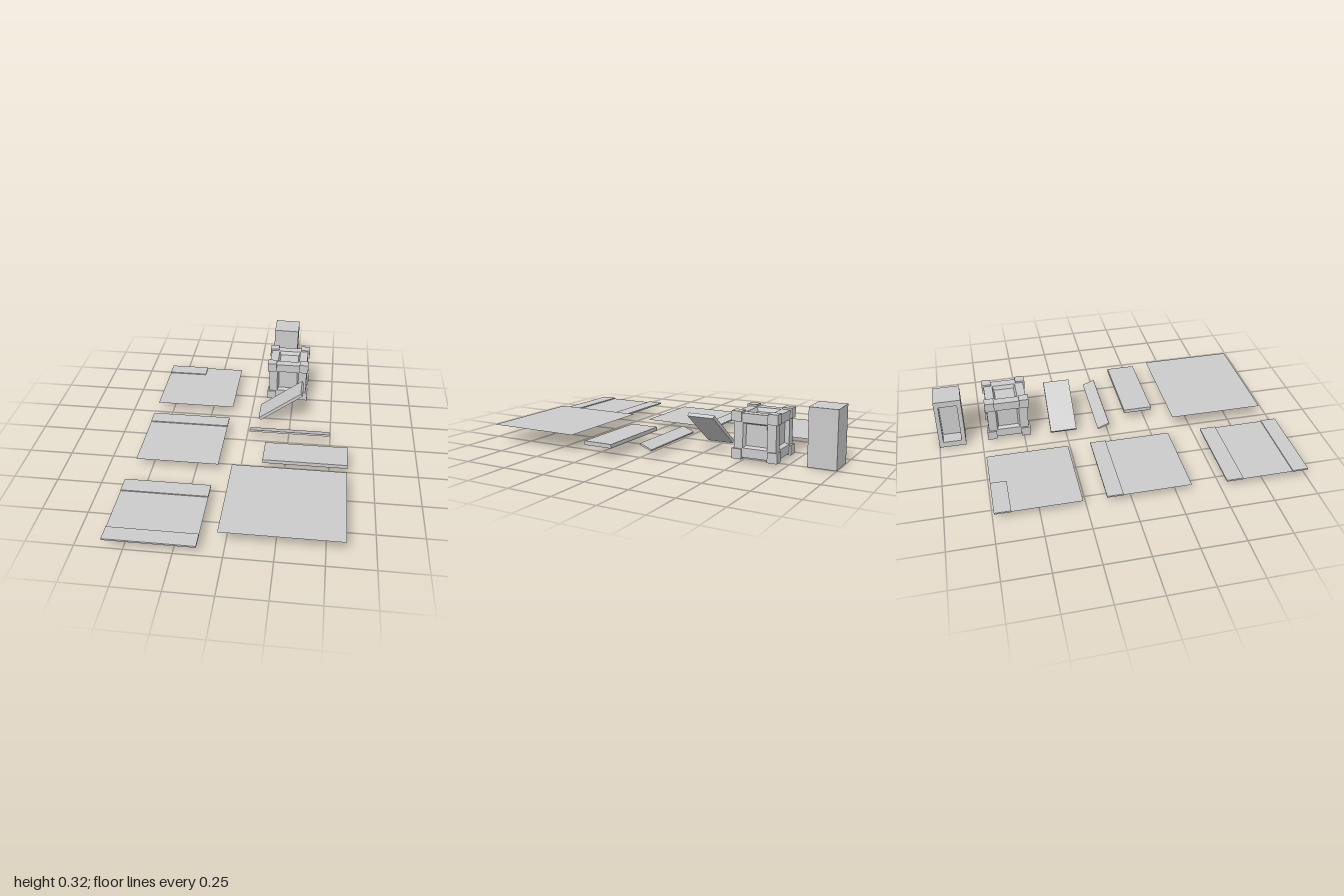
import * as THREE from 'three';

const material = new THREE.MeshStandardMaterial({ color: 0xcccccc, flatShading: true });
const thin = new THREE.MeshStandardMaterial({ color: 0xcccccc, flatShading: true, side: THREE.DoubleSide });

function add(parent, name, geometry, x, y, z, mat = material) {
  const mesh = new THREE.Mesh(geometry, mat);
  mesh.name = name;
  mesh.position.set(x, y, z);
  parent.add(mesh);
  return mesh;
}

const box = (parent, name, w, h, d, x, y, z) => add(parent, name, new THREE.BoxGeometry(w, h, d), x, y, z);

// Zero-thickness horizontal sheet given by its bounds
function sheet(parent, name, x0, x1, z0, z1, y) {
  const geometry = new THREE.PlaneGeometry(x1 - x0, z1 - z0).rotateX(-Math.PI / 2);
  return add(parent, name, geometry, (x0 + x1) / 2, y, (z0 + z1) / 2, thin);
}

// Floor panel: a sheet with raised strips, each [x0, x1, z0, z1]
function floorPanel(name, x0, x1, z0, z1, strips) {
  const group = new THREE.Group();
  group.name = name;
  sheet(group, 'panelSheet', x0, x1, z0, z1, 0.055);
  for (const [a, b, c, d] of strips) {
    box(group, 'panelStrip', b - a, 0.009, d - c, (a + b) / 2, 0.0565, (c + d) / 2);
  }
  return group;
}

// Crate: core, twelve edge bars, eight corner blocks, bevelled recess on each side
function crate() {
  const group = new THREE.Group();
  group.name = 'crate';
  box(group, 'crateCore', 0.19, 0.19, 0.19, 0, 0, 0);
  const signs = [-1, 1];
  for (const a of signs) for (const b of signs) {
    const p = a * 0.0925, q = b * 0.0925;
    box(group, 'crateBar', 0.16, 0.05, 0.05, 0, p, q);
    box(group, 'crateBar', 0.05, 0.16, 0.05, p, 0, q);
    box(group, 'crateBar', 0.05, 0.05, 0.16, p, q, 0);
    for (const c of signs) {
      box(group, 'crateCorner', 0.055, 0.055, 0.055, a * 0.1, b * 0.1, c * 0.1);
    }
  }
  const bevel = new THREE.CylinderGeometry(0.0675 * Math.SQRT2, 0.058 * Math.SQRT2, 0.0225, 4, 1, true)
    .rotateY(Math.PI / 4).translate(0, 0.10625, 0);
  for (let i = 0; i < 6; i++) {
    const mesh = add(group, 'crateBevel', bevel, 0, 0, 0, thin);
    if (i < 4) mesh.rotation.x = i * Math.PI / 2;
    else mesh.rotation.z = (i === 4 ? 1 : -1) * Math.PI / 2;
  }
  return group;
}

// Tall cabinet with an opening on its right side
function cabinet() {
  const group = new THREE.Group();
  group.name = 'cabinet';
  const w = 0.157, h = 0.315, d = 0.155, depth = 0.08;
  box(group, 'cabinetBody', w - depth, h, d, depth / 2, 0, 0);
  const rect = (path, x, y) => path.moveTo(-x, -y).lineTo(x, -y).lineTo(x, y).lineTo(-x, y).closePath();
  const shape = rect(new THREE.Shape(), d / 2, h / 2);
  shape.holes.push(rect(new THREE.Path(), d / 2 - 0.025, h / 2 - 0.035));
  const frame = new THREE.ExtrudeGeometry(shape, { depth, bevelEnabled: false }).rotateY(Math.PI / 2);
  add(group, 'cabinetFrame', frame, -w / 2, 0, 0);
  return group;
}

export function createModel() {
  const model = new THREE.Group();
  model.name = 'roomParts';

  // Row of floor panels
  model.add(
    floorPanel('frontFloorPanel', -0.605, -0.13, 0.525, 1,
      [[-0.605, -0.13, 0.91, 1], [-0.605, -0.13, 0.525, 0.62]]),
    floorPanel('middleFloorPanel', -0.59, -0.12, -0.14, 0.33, [[-0.59, -0.12, -0.14, -0.05]]),
    floorPanel('backFloorPanel', -0.59, -0.115, -0.74, -0.27, [[-0.59, -0.35, -0.74, -0.65]]),
  );
  sheet(model, 'largeSheet', -0.035, 0.595, 0.38, 0.93, 0.1);

  // Loose planks
  box(model, 'flatPlank', 0.475, 0.022, 0.17, 0.3625, 0.069, 0.205);
  box(model, 'narrowPlank', 0.475, 0.01, 0.075, 0.2575, 0.06, -0.031).rotation.x = -0.38;
  box(model, 'leaningPlank', 0.316, 0.02, 0.155, 0.188, 0.128, -0.267).rotation.z = 0.642;

  const crateGroup = crate();
  crateGroup.position.set(0.2125, 0.1475, -0.588);
  model.add(crateGroup);

  const cabinetGroup = cabinet();
  cabinetGroup.position.set(0.173, 0.16, -0.9225);
  cabinetGroup.rotation.z = -0.02;
  model.add(cabinetGroup);

  return model;
}
